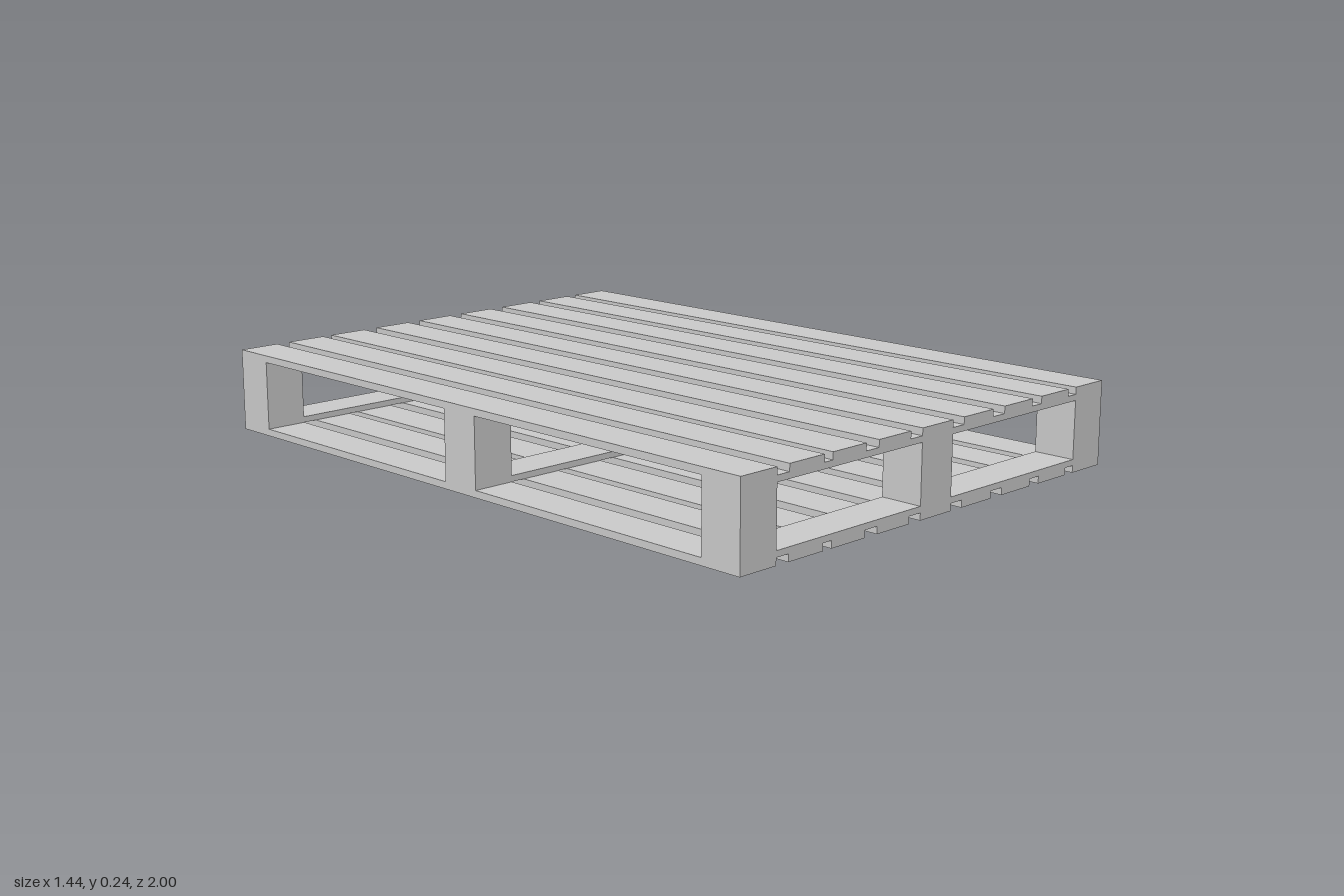
import * as THREE from 'three';

const HEIGHT = 0.238, SLAT_T = 0.02, RAIL_T = 0.017, W = 0.123;
const SLAT_X = [-0.658, -0.493, -0.34, -0.17, -0.002, 0.166, 0.337, 0.5, 0.658];
const BLOCK_X = [SLAT_X[0], SLAT_X[4], SLAT_X[8]];
const BLOCK_Z = [-1 + W / 2, 0, 1 - W / 2];

export function createModel() {
  const pallet = new THREE.Group();
  pallet.name = 'pallet';
  const material = new THREE.MeshStandardMaterial({ color: 0xcccccc, flatShading: true });

  const box = (name, w, h, d, x, y, z) => {
    const mesh = new THREE.Mesh(new THREE.BoxGeometry(w, h, d), material);
    mesh.name = name;
    mesh.position.set(x, y, z);
    pallet.add(mesh);
  };

  // Top and bottom decks: long slats running front to back
  for (const x of SLAT_X) {
    box('topSlat', W, SLAT_T, 2, x, HEIGHT - SLAT_T / 2, 0);
    box('bottomSlat', W, SLAT_T, 2, x, SLAT_T / 2, 0);
  }

  for (const z of BLOCK_Z) {
    // Spacer blocks between the decks
    for (const x of BLOCK_X) {
      box('block', W, HEIGHT - 2 * SLAT_T, W, x, HEIGHT / 2, z);
    }
    // Cross rails spanning from block to block, under and over the decks
    for (let i = 0; i < 2; i++) {
      const x0 = BLOCK_X[i] + W / 2, x1 = BLOCK_X[i + 1] - W / 2;
      const x = (x0 + x1) / 2;
      box('topRail', x1 - x0, RAIL_T, W, x, HEIGHT - SLAT_T - RAIL_T / 2, z);
      box('bottomRail', x1 - x0, RAIL_T, W, x, SLAT_T + RAIL_T / 2, z);
    }
  }
  return pallet;
}
